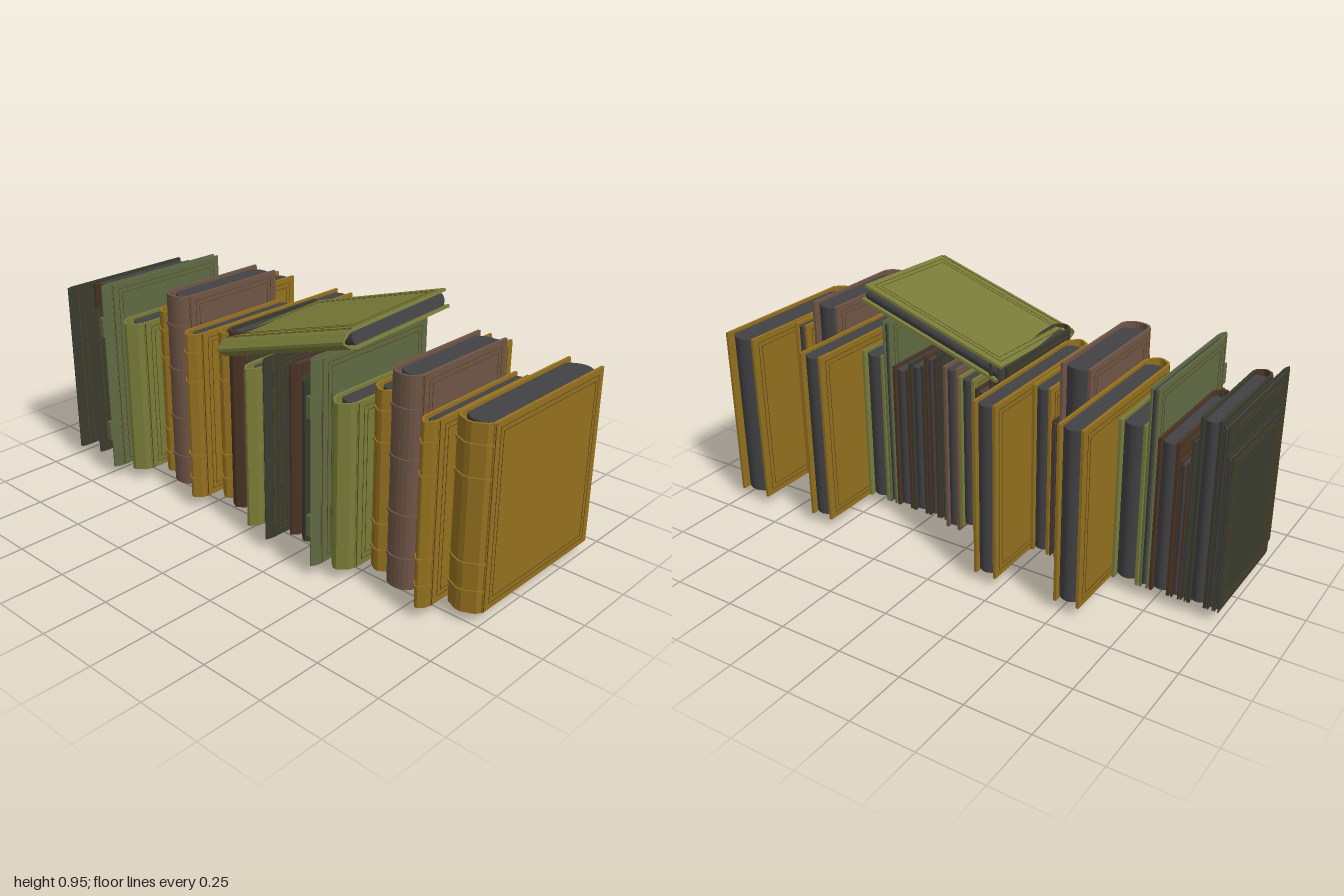
import * as THREE from 'three';

const mat = (name, color, side = THREE.FrontSide) => {
  const m = new THREE.MeshStandardMaterial({ color, side });
  m.name = name;
  return m;
};
const M = {
  mustard: mat('mustard cloth', 0x94701f),
  olive: mat('olive cloth', 0x787c38),
  sage: mat('grey green cloth', 0x5f6a42),
  brown: mat('brown leather', 0x6e5546),
  umber: mat('dark brown leather', 0x4a3325),
  dark: mat('dark olive cloth', 0x3a3b2e),
  pages: mat('dark paper', 0x424244),
  ribbon: mat('rust ribbon', 0x5e2e14, THREE.DoubleSide),
  line: mat('cover line', 0x594318),
};

function add(parent, name, geometry, material) {
  const mesh = new THREE.Mesh(geometry, material);
  mesh.name = name;
  parent.add(mesh);
  return mesh;
}

function box(parent, name, material, x0, x1, y0, y1, z0, z1) {
  const mesh = add(parent, name, new THREE.BoxGeometry(x1 - x0, y1 - y0, z1 - z0), material);
  mesh.position.set((x0 + x1) / 2, (y0 + y1) / 2, (z0 + z1) / 2);
}

// Extrudes an outline in the x-z plane upwards from y0 to y1
function upright(parent, name, material, shape, y0, y1) {
  const g = new THREE.ExtrudeGeometry(shape, { depth: y1 - y0, bevelEnabled: false, curveSegments: 8 });
  g.rotateX(-Math.PI / 2);
  add(parent, name, g, material).position.y = y0;
}

// Hollow spine outline: a rounded arc or a faceted point
function spineShape(tip, hinge, w, round, t) {
  const d = hinge - tip, pts = [];
  if (round) {
    for (let i = 0; i <= 10; i++) {
      const a = Math.PI * (i / 10 - 0.5);
      pts.push([hinge - d * Math.cos(a), w / 2 * Math.sin(a)]);
    }
  } else {
    pts.push([hinge, -w / 2], [hinge - d * 0.5, -w * 0.42], [tip, -w * 0.08],
      [tip, w * 0.08], [hinge - d * 0.5, w * 0.42], [hinge, w / 2]);
  }
  const k = 1 - 2 * t / w;
  const inner = pts.map(([x, z]) => [Math.min(x + t, hinge), z * k]).reverse();
  return new THREE.Shape([...pts, ...inner].map(p => new THREE.Vector2(...p)));
}

// Page block with curved back and fore-edge
function pageShape(x0, x1, w) {
  const s = new THREE.Shape(), h = w / 2, b = Math.min(0.03, w * 0.25);
  s.moveTo(x0 + b, -h);
  s.lineTo(x1 - b, -h);
  s.quadraticCurveTo(x1 + b, 0, x1 - b, h);
  s.lineTo(x0 + b, h);
  s.quadraticCurveTo(x0 - b, 0, x0 + b, -h);
  return s;
}

function book(o) {
  const { z0, z1, top, tip, hinge, colour } = o;
  const y0 = o.bottom ?? 0.045, xe = o.end ?? 0.183;
  const w = z1 - z0, t = Math.min(0.011, w * 0.2);
  const spineMat = M[o.spine ?? colour], cover = M[colour];
  const g = new THREE.Group();
  g.name = 'book';
  g.position.z = (z0 + z1) / 2;

  upright(g, 'pages', M.pages, pageShape(hinge + 0.004, xe - 0.004, w - 2 * t), y0 + 0.012, top - 0.012);
  upright(g, 'spine', spineMat, spineShape(tip, hinge + 0.004, w * 0.96, o.round, t * 0.8), y0, top);

  for (const s of [-1, 1]) {
    const a = s * (w / 2 - t), b = s * w / 2;
    box(g, 'cover', cover, hinge, xe, y0, top, Math.min(a, b), Math.max(a, b));
    // Fine double frame and hinge lines
    const f = s * (w / 2 + 0.0005);
    const strip = (xa, xb, ya, yb) => box(g, 'coverLine', M.line, xa, xb, ya, yb, f - 0.0005, f + 0.0005);
    for (const inset of [0.022, 0.04]) {
      const xa = hinge + inset + 0.01, xb = xe - inset - 0.006, ya = y0 + inset, yb = top - inset;
      strip(xa, xb, ya, ya + 0.002);
      strip(xa, xb, yb - 0.002, yb);
      strip(xa, xa + 0.002, ya, yb);
      strip(xb - 0.002, xb, ya, yb);
    }
    strip(hinge + 0.004, hinge + 0.008, y0 + 0.003, top - 0.003);
  }

  // Raised bands: fractions of the spine height
  for (const f of o.bands ?? []) {
    const y = y0 + f * (top - y0);
    upright(g, 'spineBand', spineMat, spineShape(tip - 0.006, hinge, w, o.round, t), y - 0.005, y + 0.005);
  }
  // Two square tabs on the back of the spine
  if (o.tabs) for (const y of [0.17, 0.615])
    box(g, 'spineTab', spineMat, tip - 0.012, tip + 0.02, y, y + 0.08, -w * 0.3, w * 0.3);
  // Headband stub and two ribbon tails
  if (o.ribbon) {
    box(g, 'headband', spineMat, hinge - 0.01, hinge + 0.015, top - 0.02, top + 0.017, -0.004, 0.004);
    for (const x of [-0.232, -0.188]) {
      const s = new THREE.Shape();
      s.moveTo(x, 0.06);
      s.lineTo(x - 0.028, 0.06);
      s.lineTo(x - 0.03, 0);
      s.lineTo(x - 0.008, 0.003);
      const r = add(g, 'ribbon', new THREE.ShapeGeometry(s), M.ribbon);
      r.rotation.x = -0.12;
    }
  }
  return g;
}

export function createModel() {
  const root = new THREE.Group();
  root.name = 'bookRow';
  const four = [0.12, 0.27, 0.72, 0.89];

  // Kinds of book
  const wide = { top: 0.725, bottom: 0.04, tip: -0.265, hinge: -0.225, end: 0.415, colour: 'mustard', bands: four };
  const slim = { top: 0.72, tip: -0.355, hinge: -0.315, colour: 'mustard', bands: four };
  const small = { top: 0.6, tip: -0.255, hinge: -0.225, colour: 'umber', ribbon: true };
  const tall = { top: 0.828, tip: -0.31, hinge: -0.272, colour: 'brown', round: true, bands: [0.15, 0.36, 0.62, 0.85] };
  const green = { top: 0.675, tip: -0.362, hinge: -0.31, colour: 'olive' };
  const thin = { top: 0.82, tip: -0.408, hinge: -0.372, colour: 'sage', tabs: true };
  const low = { top: 0.645, tip: -0.3, hinge: -0.265, colour: 'umber', ribbon: true };
  const black = { top: 0.76, tip: -0.295, hinge: -0.265, colour: 'dark', spine: 'umber' };
  const slip = { top: 0.75, tip: -0.388, hinge: -0.355, colour: 'dark' };
  const plain = { top: 0.675, tip: -0.3, hinge: -0.265, colour: 'dark' };
  const deep = { top: 0.7, bottom: 0.02, tip: -0.307, hinge: -0.27, colour: 'brown', spine: 'umber' };

  // Shelf order from the front to the back: kind, near z, far z
  const row = [
    [wide, 0.998, 0.857], [slim, 0.853, 0.792], [small, 0.785, 0.758], [tall, 0.753, 0.632],
    [wide, 0.625, 0.524], [green, 0.518, 0.418], [thin, 0.412, 0.38], [low, 0.373, 0.3],
    [plain, 0.295, 0.228], [{ ...plain, top: 0.72, colour: 'umber' }, 0.222, 0.17], [slip, 0.165, 0.143],
    [deep, 0.138, 0.074], [green, 0.07, 0.002], [low, -0.004, -0.058], [black, -0.065, -0.143],
    [wide, -0.148, -0.24], [slim, -0.245, -0.322], [small, -0.327, -0.35], [tall, -0.356, -0.474],
    [wide, -0.48, -0.58], [green, -0.586, -0.69], [thin, -0.696, -0.728], [low, -0.734, -0.812],
    [{ ...plain, top: 0.58, colour: 'umber' }, -0.817, -0.85],
    [{ ...slip, top: 0.675, tip: -0.365, hinge: -0.335 }, -0.855, -0.873],
    [black, -0.878, -0.952], [slip, -0.956, -0.977], [{ ...plain, top: 0.645 }, -0.981, -0.998],
  ];
  for (const [kind, z1, z0] of row) root.add(book({ ...kind, z0, z1 }));

  // Book lying aslant on top of the row
  const leaning = book({ ...green, z0: -0.035, z1: 0.035, bottom: -0.318, top: 0.318 });
  leaning.name = 'leaningBook';
  leaning.rotation.set(-1.874, 0, 0.04, 'ZXY');
  leaning.position.set(0, 0.812, 0.195);
  root.add(leaning);
  return root;
}
